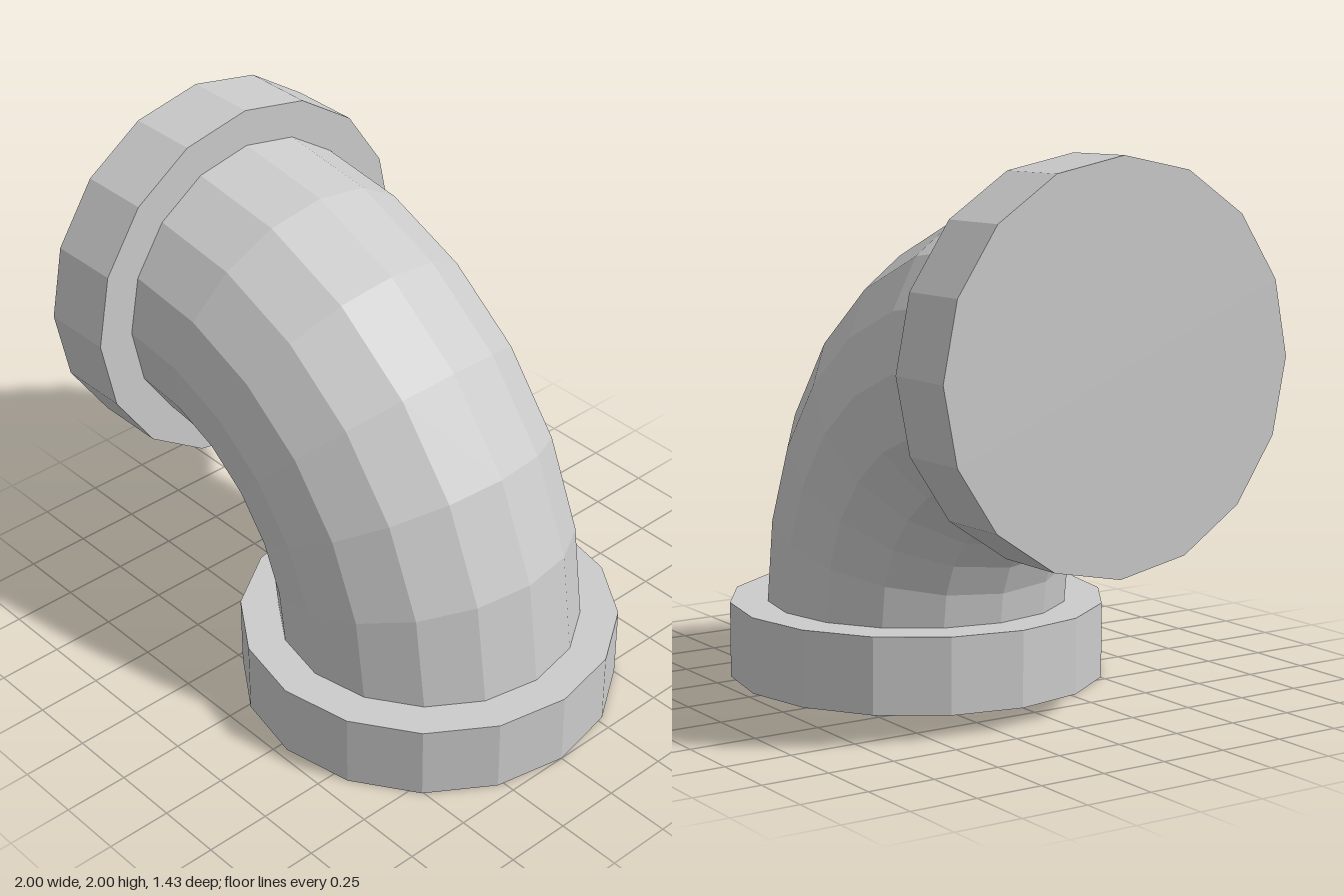
import * as THREE from 'three';

const SIDES = 16;
const FLANGE_R = 0.714, FLANGE_H = 0.286;
const PIPE_R = 0.571, BEND_R = 1;

export function createModel() {
  const group = new THREE.Group();
  const material = new THREE.MeshStandardMaterial({ color: 0xcccccc, flatShading: true });

  function add(name, geometry, x, y, z = 0) {
    const mesh = new THREE.Mesh(geometry, material);
    mesh.name = name;
    mesh.position.set(x, y, z);
    group.add(mesh);
    return mesh;
  }

  // Quarter-turn pipe, ending flush on the inner face of each flange
  add('elbowPipe',
    new THREE.TorusGeometry(BEND_R, PIPE_R, SIDES, 6, Math.PI / 2),
    FLANGE_H - BEND_R, FLANGE_H);

  // Solid end flanges: one flat on the ground, one facing -x
  const flange = new THREE.CylinderGeometry(FLANGE_R, FLANGE_R, FLANGE_H, SIDES);
  add('bottomFlange', flange, FLANGE_H, FLANGE_H / 2);
  add('sideFlange', flange, -1 + FLANGE_H / 2, FLANGE_H + BEND_R).rotation.z = Math.PI / 2;

  return group;
}
